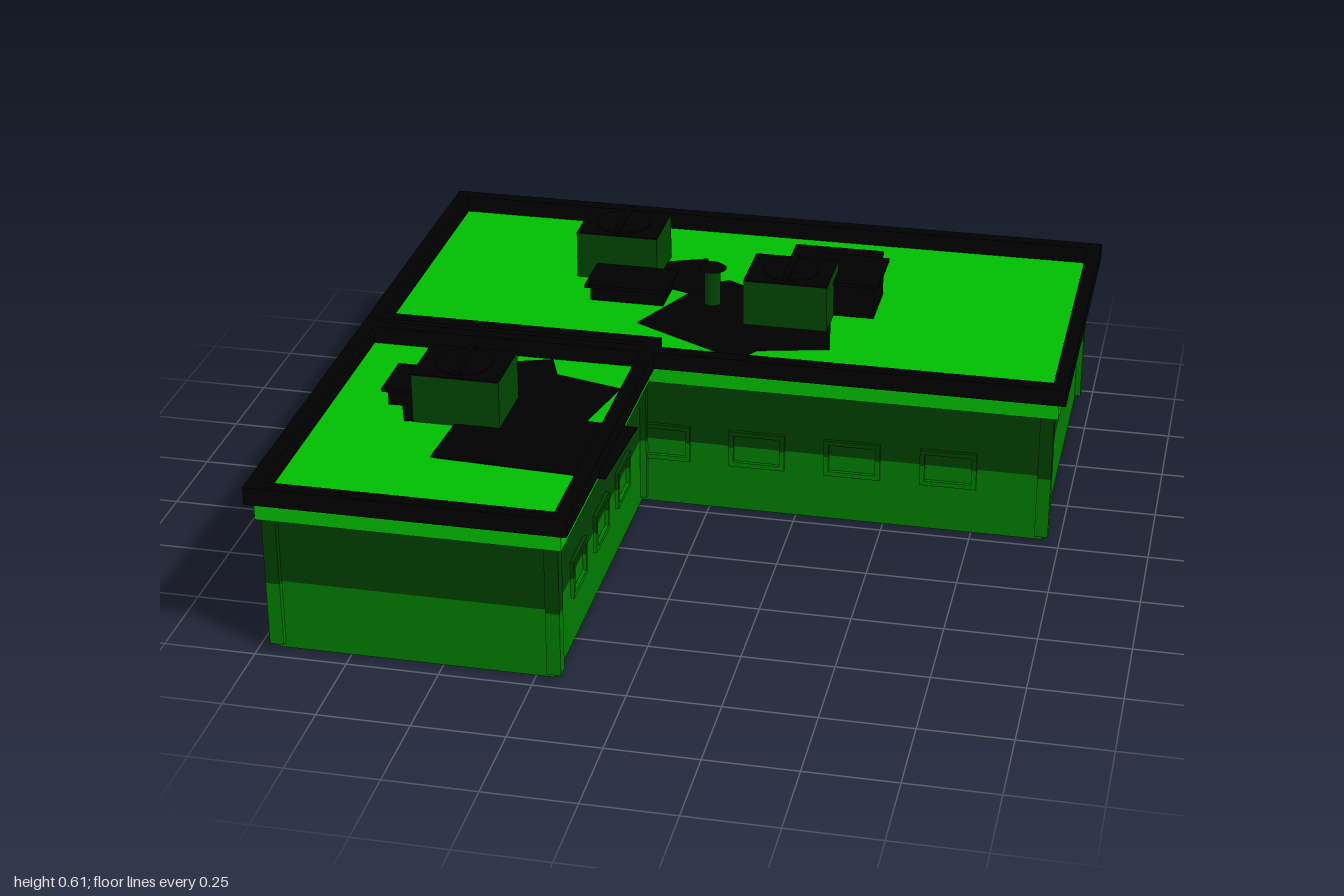
import * as THREE from 'three';

const mat = (name, color) => Object.assign(new THREE.MeshStandardMaterial({ color }), { name });

export function createModel() {
  const M = {
    roof: mat('bright green', 0x00be00),
    lower: mat('mid green', 0x007c00),
    upper: mat('dark green', 0x004000),
    unit: mat('unit green', 0x004600),
    black: mat('black', 0x000000),
  };
  const model = new THREE.Group();
  model.name = 'building';

  const group = (name) => {
    const g = new THREE.Group();
    g.name = name;
    model.add(g);
    return g;
  };
  // Box given by its extents
  const box = (parent, name, m, x0, x1, y0, y1, z0, z1) => {
    const mesh = new THREE.Mesh(new THREE.BoxGeometry(x1 - x0, y1 - y0, z1 - z0), m);
    mesh.position.set((x0 + x1) / 2, (y0 + y1) / 2, (z0 + z1) / 2);
    mesh.name = name;
    parent.add(mesh);
  };
  // Box painted in two tones, split at the wall's paint line
  const SPLIT = 0.2;
  const banded = (parent, name, x0, x1, y0, y1, z0, z1) => {
    if (y0 < SPLIT) box(parent, name + 'Lower', M.lower, x0, x1, y0, Math.min(y1, SPLIT), z0, z1);
    if (y1 > SPLIT) box(parent, name + 'Upper', M.upper, x0, x1, Math.max(y0, SPLIT), y1, z0, z1);
  };

  // One hollow wing, open below: thin walls, corner posts, roof slab and black parapet
  const DECK = 0.446;
  const wing = (name, x0, x1, z0, z1) => {
    const g = group(name);
    const w = 0.05, k = 0.006, p = 0.032, s = 0.038, f = 0.02, t = 0.04;
    for (const z of [z0 + w, z1 - w - k]) banded(g, 'wall', x0 + w, x1 - w, 0, 0.395, z, z + k);
    for (const x of [x0 + w, x1 - w - k]) banded(g, 'wall', x, x + k, 0, 0.395, z0 + w + k, z1 - w - k);
    for (const x of [x0 + p, x1 - p - s])
      for (const z of [z0 + p, z1 - p - s]) banded(g, 'cornerPost', x, x + s, 0.017, 0.395, z, z + s);
    box(g, 'roofSlab', M.roof, x0 + f, x1 - f, 0.393, DECK, z0 + f, z1 - f);
    for (const z of [z0, z1 - t]) box(g, 'parapet', M.black, x0, x1, 0.445, 0.495, z, z + t);
    for (const x of [x0, x1 - t]) box(g, 'parapet', M.black, x, x + t, 0.445, 0.495, z0 + t, z1 - t);
  };
  wing('backWing', -1, 1, -1, 0.01);
  wing('frontWing', -1, -0.148, -0.09, 1);

  // Raised window frame facing local +z
  const windowFrame = (x, z, angle, width) => {
    const g = group('windowFrame');
    const h = width / 2, b = 0.014, d = 0.01;
    banded(g, 'head', -h, h, 0.236, 0.25, 0, d);
    banded(g, 'sill', -h, h, 0.14, 0.154, 0, d);
    for (const sx of [-h, h - b]) banded(g, 'jamb', sx, sx + b, 0.154, 0.236, 0, d);
    g.position.set(x, 0, z);
    g.rotation.y = angle;
  };
  for (let i = 0; i < 6; i++) {
    const x = -0.68 + i * 0.272;
    windowFrame(x, -0.95, Math.PI, 0.16);
    if (i > 1) windowFrame(x, -0.04, 0, 0.16);
  }
  for (const z of [0.21, 0.46, 0.71]) {
    windowFrame(-0.198, z, Math.PI / 2, 0.145);
    windowFrame(-0.95, z, -Math.PI / 2, 0.145);
  }

  // Flat black patches lying on the roof deck, outlined in x and z
  const patches = [
    [[-0.06, -0.61], [0.04, -0.55], [0.25, -0.59], [0.31, -0.21], [0.11, -0.16], [0.07, -0.09], [-0.26, -0.27], [-0.13, -0.56]],
    [[-0.3, -0.69], [-0.155, -0.75], [-0.08, -0.56], [-0.16, -0.5], [-0.3, -0.55]],
    [[-0.84, 0.16], [-0.435, 0.02], [-0.4, 0.11], [-0.21, 0.16], [-0.26, 0.4], [-0.5, 0.44], [-0.735, 0.465], [-0.82, 0.23]],
    [[-0.59, 0.35], [-0.11, 0.38], [-0.125, 0.68], [-0.605, 0.655]],
  ];
  patches.forEach((pts, i) => {
    const shape = new THREE.Shape(pts.map(([x, z]) => new THREE.Vector2(x, -z)));
    const geo = new THREE.ExtrudeGeometry(shape, { depth: 0.004, bevelEnabled: false });
    const mesh = new THREE.Mesh(geo, M.black);
    mesh.rotation.x = -Math.PI / 2;
    mesh.position.y = DECK + i * 0.0004;
    mesh.name = 'roofPatch';
    model.add(mesh);
  });

  const disc = (parent, name, m, rTop, rBottom, y0, y1, sides) => {
    const mesh = new THREE.Mesh(new THREE.CylinderGeometry(rTop, rBottom, y1 - y0, sides), m);
    mesh.position.y = (y0 + y1) / 2;
    mesh.name = name;
    parent.add(mesh);
  };

  // Cooling units with a round fan grille and a crossbar
  for (const [x, z] of [[-0.59, 0.365], [-0.388, -0.65], [0.16, -0.415]]) {
    const g = group('coolingUnit');
    box(g, 'unitBody', M.unit, -0.121, 0.121, DECK, 0.584, -0.097, 0.097);
    box(g, 'unitLid', M.black, -0.121, 0.121, 0.584, 0.588, -0.097, 0.097);
    disc(g, 'fanGrille', M.black, 0.08, 0.08, 0.588, 0.593, 24);
    box(g, 'fanBar', M.black, -0.008, 0.008, 0.593, 0.605, -0.085, 0.085);
    g.position.set(x, 0, z);
  }

  // Roof hatches with overhanging lids: x range, z range, top height
  const hatches = [
    [0.2, 0.412, -0.628, -0.425, 0.556],
    [0.105, 0.37, -0.8, -0.64, 0.5],
    [-0.445, -0.2, -0.54, -0.385, 0.5],
    [-0.82, -0.6, 0.23, 0.39, 0.5],
  ];
  for (const [x0, x1, z0, z1, top] of hatches) {
    const g = group('roofHatch');
    const e = 0.014;
    box(g, 'hatchBody', M.black, x0 + e, x1 - e, DECK, top - 0.011, z0 + e, z1 - e);
    box(g, 'hatchLid', M.black, x0, x1, top - 0.011, top, z0, z1);
  }

  // Small capped vent pipe
  const vent = group('ventPipe');
  disc(vent, 'pipe', M.unit, 0.024, 0.024, DECK, 0.56, 12);
  disc(vent, 'pipeCap', M.black, 0.022, 0.042, 0.56, 0.572, 12);
  vent.position.set(-0.077, 0, -0.445);

  return model;
}
